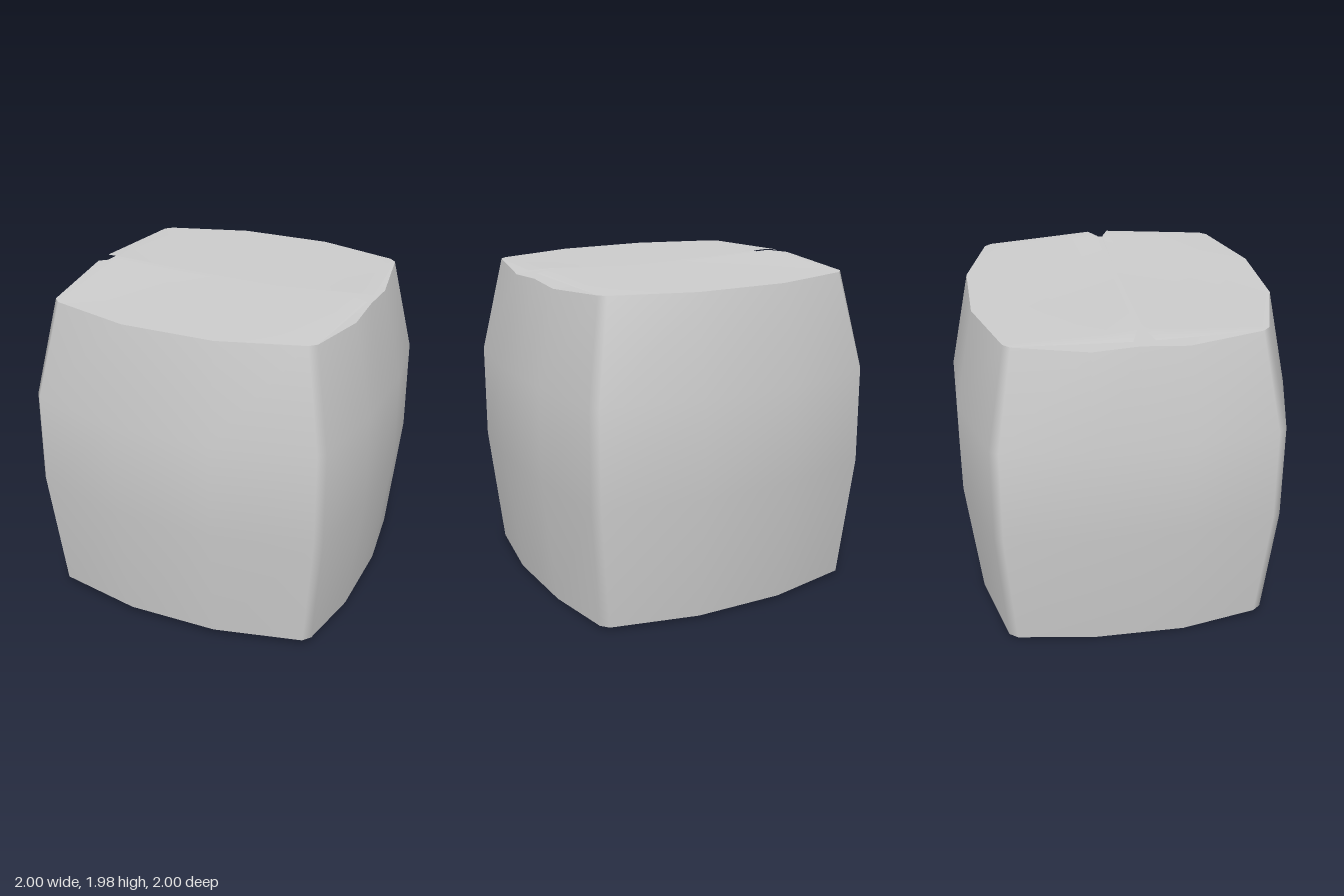
import * as THREE from 'three';

const material = new THREE.MeshStandardMaterial({ color: 0xcccccc });
const sheetMaterial = new THREE.MeshStandardMaterial({ color: 0xcccccc, side: THREE.DoubleSide });

function buildMesh(name, points, index, mat) {
  const geometry = new THREE.BufferGeometry();
  geometry.setAttribute('position', new THREE.Float32BufferAttribute(points.flat(), 3));
  geometry.setIndex(index);
  geometry.computeVertexNormals();
  const mesh = new THREE.Mesh(geometry, mat);
  mesh.name = name;
  return mesh;
}

// Mirrors a quarter outline of [x, z] points into a closed ring; height is a rule of x and z
function ring(quarter, height) {
  const half = [...quarter, ...quarter.slice().reverse().map(([x, z]) => [-x, z])].slice(0, -1);
  const all = [...half, ...half.map(([x, z]) => [-x, -z])];
  return all.map(([x, z]) => [x, height(x, z), z]);
}

// Fan from a centre point to a ring
function cap(name, points, centreY, up) {
  const n = points.length, index = [];
  for (let i = 0; i < n; i++) {
    const j = (i + 1) % n;
    index.push(n, up ? j : i, up ? i : j);
  }
  return buildMesh(name, [...points, [0, centreY, 0]], index, material);
}

// Thin top flap, curled up at the corners of its inner edge
function flap(name, side, gap) {
  const inner = [[-0.88, 1.968, 0.045], [-0.76, 1.985, 0], [-0.28, 1.967, 0],
    [0.28, 1.957, 0], [0.76, 1.985, 0], [0.88, 1.975, 0.045]];
  const outer = [[-0.81, 0.70], [-0.77, 0.74], [-0.28, 0.882],
    [0.28, 0.882], [0.77, 0.74], [0.81, 0.70]];
  const points = [], index = [], rows = 4, n = inner.length;
  for (let r = 0; r <= rows; r++) {
    const t = r / rows;
    inner.forEach(([x, y, dz], i) => points.push([
      THREE.MathUtils.lerp(x, outer[i][0], t),
      THREE.MathUtils.lerp(y, 1.952, t),
      THREE.MathUtils.lerp(gap + side * dz, side * outer[i][1], t)]));
  }
  for (let r = 0; r < rows; r++) {
    for (let i = 0; i < n - 1; i++) {
      const a = r * n + i, b = a + 1, c = a + n, d = c + 1;
      if (side > 0) index.push(a, c, b, b, c, d);
      else index.push(a, b, c, b, d, c);
    }
  }
  return buildMesh(name, points, index, sheetMaterial);
}

export function createModel() {
  const group = new THREE.Group();
  group.name = 'cardboardBox';

  // Bulging walls, from the bottom ring up
  const belly = [[1, 0], [1, 0.3], [0.92, 0.8], [0.88, 0.85], [0.3, 1]];
  const bottom = ring([[0.91, 0], [0.91, 0.28], [0.85, 0.74], [0.81, 0.79], [0.28, 0.91]],
    (x, z) => 0.01 + (z > 0 ? 0.035 : 0.01) * THREE.MathUtils.clamp((Math.abs(z) - 0.28) / 0.46, 0, 1));
  const top = ring([[0.88, 0], [0.88, 0.27], [0.81, 0.7], [0.77, 0.74], [0.28, 0.882]],
    (x, z) => (z === 0 ? 1.938 : Math.abs(z) < 0.3 ? 1.922 : 1.95));
  const rings = [bottom, ring(belly, () => 0.78), ring(belly, () => 1.36), top];
  const n = bottom.length, index = [];
  for (let r = 0; r < rings.length - 1; r++) {
    for (let i = 0; i < n; i++) {
      const a = r * n + i, b = r * n + (i + 1) % n;
      index.push(a, a + n, b, b, a + n, b + n);
    }
  }
  group.add(buildMesh('walls', rings.flat(), index, material));

  // Base, inner lid and the two outer flaps
  group.add(cap('base', bottom, 0.002, false));
  group.add(cap('innerLid', top, 1.938, true));
  group.add(flap('frontFlap', 1, 0.035));
  group.add(flap('backFlap', -1, 0));
  return group;
}
